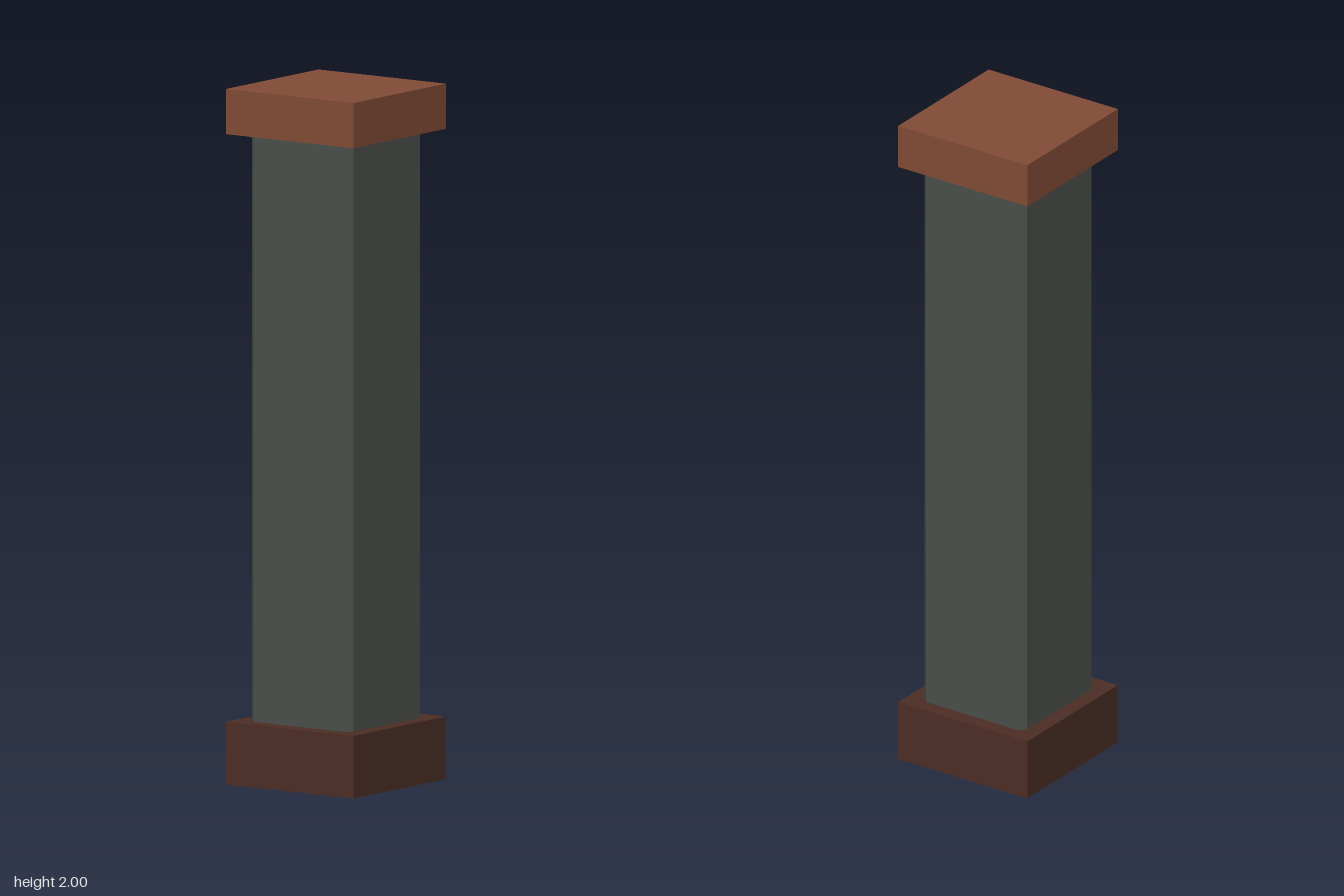
import * as THREE from 'three';

const paint = (name, color) => {
  const m = new THREE.MeshStandardMaterial({ color });
  m.name = name;
  return m;
};

export function createModel() {
  const group = new THREE.Group();
  group.name = 'pillar';
  const add = (name, geometry, material, y) => {
    const mesh = new THREE.Mesh(geometry, material);
    mesh.name = name;
    mesh.position.y = y;
    group.add(mesh);
  };

  const width = 0.448, baseTop = 0.18, capBottom = 1.87, top = 2;

  // Square plinth and capping block
  add('base', new THREE.BoxGeometry(width, baseTop, width), paint('dark brown', 0x4d2e25), baseTop / 2);
  add('cap', new THREE.BoxGeometry(width, top - capBottom, width), paint('rust brown', 0x824c36), (capBottom + top) / 2);

  // Square shaft with chamfered corners, seated slightly into both blocks
  const h = 0.178, c = 0.16, sink = 0.02;
  const section = new THREE.Shape([
    [h, -c], [h, c], [c, h], [-c, h], [-h, c], [-h, -c], [-c, -h], [c, -h],
  ].map(([x, y]) => new THREE.Vector2(x, y)));
  const shaft = new THREE.ExtrudeGeometry(section, {
    depth: capBottom - baseTop + 2 * sink,
    bevelEnabled: false,
  });
  shaft.rotateX(-Math.PI / 2);
  add('shaft', shaft, paint('grey green', 0x4b504b), baseTop - sink);

  return group;
}
